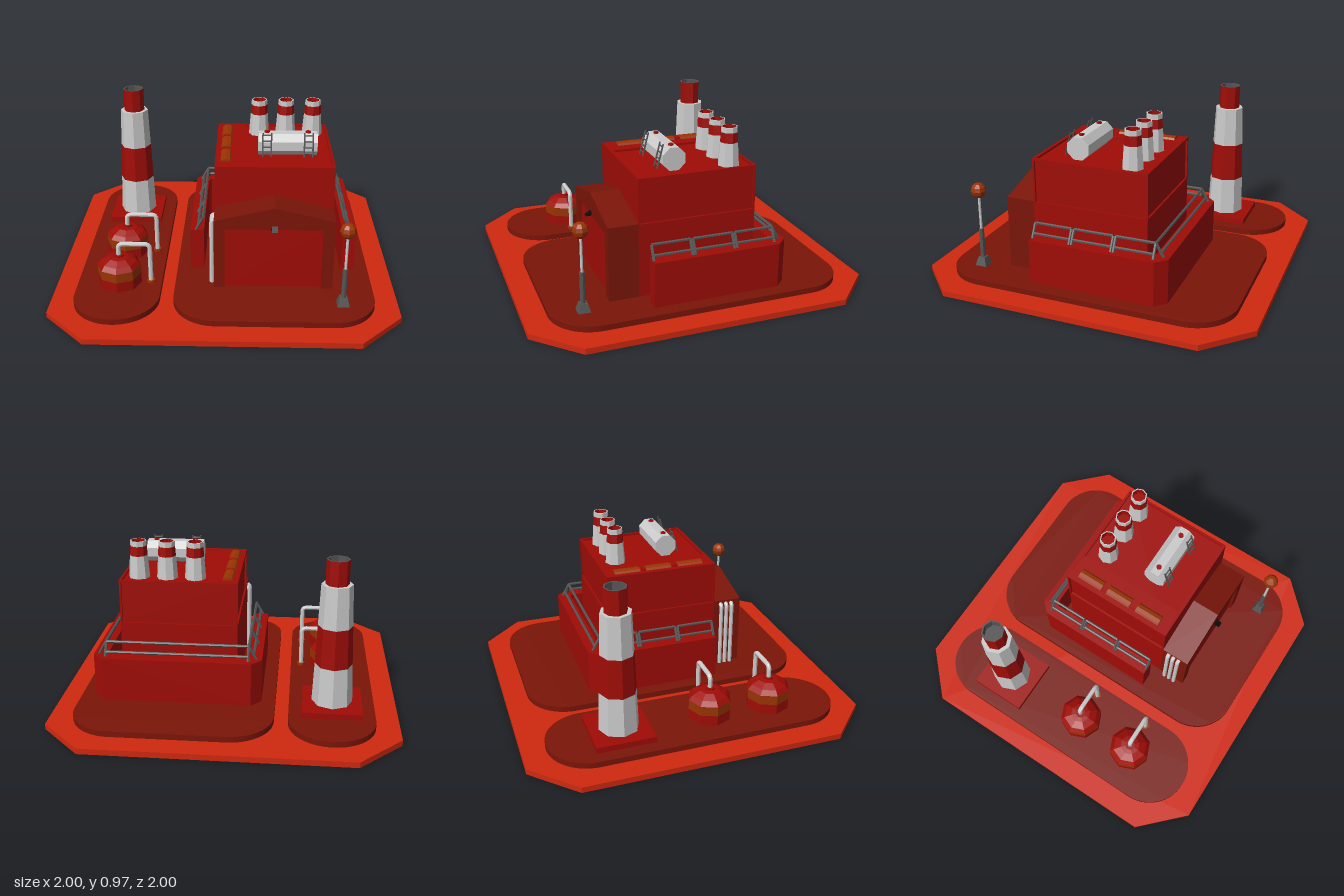
import * as THREE from 'three';

const mat = (color) => new THREE.MeshStandardMaterial({ color, flatShading: true, side: THREE.DoubleSide });
const M = {
  ground: mat(0xd0280f), dark: mat(0x7b1508), red: mat(0xa00c06),
  rust: mat(0x9a3402), grey: mat(0xcccccc), steel: mat(0x555555), black: mat(0x0c0c0c),
};

function mesh(parent, name, geo, m, x = 0, y = 0, z = 0) {
  const o = new THREE.Mesh(geo, m);
  o.name = name;
  o.position.set(x, y, z);
  parent.add(o);
  return o;
}

// Box given by its extents on each axis
function box(parent, name, m, x0, x1, y0, y1, z0, z1) {
  return mesh(parent, name, new THREE.BoxGeometry(x1 - x0, y1 - y0, z1 - z0), m,
    (x0 + x1) / 2, (y0 + y1) / 2, (z0 + z1) / 2);
}

// Flat outline in x/z extruded upwards
function slab(parent, name, m, shape, y0, y1) {
  const geo = new THREE.ExtrudeGeometry(shape, { depth: y1 - y0, bevelEnabled: false, curveSegments: 10 });
  geo.rotateX(-Math.PI / 2);
  return mesh(parent, name, geo, m, 0, y0, 0);
}

const outline = (pts) => new THREE.Shape(pts.map(([x, z]) => new THREE.Vector2(x, -z)));
const rect = (x0, x1, z0, z1) => outline([[x0, z1], [x1, z1], [x1, z0], [x0, z0]]);
const profile = (pts) => pts.map((p) => new THREE.Vector2(...p));

function roundedRect(x0, x1, z, r) {
  const s = new THREE.Shape();
  s.absarc(x1 - r, z - r, r, 0, Math.PI / 2);
  s.absarc(x0 + r, z - r, r, Math.PI / 2, Math.PI);
  s.absarc(x0 + r, -z + r, r, Math.PI, Math.PI * 1.5);
  s.absarc(x1 - r, -z + r, r, Math.PI * 1.5, Math.PI * 2);
  return s;
}

// Eight-sided turned part from [radius, height] pairs
function turned(parent, name, m, pts, x = 0, z = 0) {
  return mesh(parent, name, new THREE.LatheGeometry(profile(pts), 8), m, x, 0, z);
}

// Straight round bar between two points
function bar(parent, name, m, a, b, r, sides = 6) {
  const p = new THREE.Vector3(...a), q = new THREE.Vector3(...b);
  const d = q.clone().sub(p);
  const o = mesh(parent, name, new THREE.CylinderGeometry(r, r, d.length(), sides), m);
  o.position.copy(p).add(q).multiplyScalar(0.5);
  o.quaternion.setFromUnitVectors(new THREE.Vector3(0, 1, 0), d.normalize());
  return o;
}

// Pipe with small rounded bends at its inner corners
function pipe(parent, name, m, pts, r, bend = 0.03) {
  const v = pts.map((p) => new THREE.Vector3(...p));
  const path = new THREE.CurvePath();
  let from = v[0];
  for (let i = 1; i < v.length - 1; i++) {
    const a = v[i].clone().add(v[i - 1].clone().sub(v[i]).setLength(bend));
    const b = v[i].clone().add(v[i + 1].clone().sub(v[i]).setLength(bend));
    path.add(new THREE.LineCurve3(from, a));
    path.add(new THREE.QuadraticBezierCurve3(a, v[i], b));
    from = b;
  }
  path.add(new THREE.LineCurve3(from, v[v.length - 1]));
  return mesh(parent, name, new THREE.TubeGeometry(path, 48, r, 8), m);
}

function group(parent, name) {
  const g = new THREE.Group();
  g.name = name;
  parent.add(g);
  return g;
}

export function createModel() {
  const root = new THREE.Group();
  root.name = 'factory';

  // Ground plate and paved pads
  const c = 0.755;
  slab(root, 'groundPlate', M.ground, outline([[-c, 1], [c, 1], [1, c], [1, -c],
    [c, -1], [-c, -1], [-1, -c], [-1, c]]), 0, 0.034);
  slab(root, 'siloPad', M.dark, roundedRect(-0.865, -0.37, 0.865, 0.247), 0, 0.068);
  slab(root, 'hallPad', M.dark, roundedRect(-0.29, 0.865, 0.865, 0.25), 0, 0.068);

  // Tall banded chimney
  const chimney = group(root, 'chimney');
  box(chimney, 'chimneyFooting', M.red, -0.79, -0.448, 0.068, 0.103, -0.62, -0.275);
  const cx = -0.619, cz = -0.447;
  turned(chimney, 'chimneyLowerBand', M.grey, [[0.118, 0.103], [0.108, 0.338]], cx, cz);
  turned(chimney, 'chimneyMiddleBand', M.red, [[0.108, 0.338], [0.099, 0.573]], cx, cz);
  turned(chimney, 'chimneyUpperBand', M.grey, [[0.099, 0.573], [0.089, 0.818], [0.066, 0.818]], cx, cz);
  turned(chimney, 'chimneyCrown', M.red, [[0.066, 0.818], [0.066, 0.962]], cx, cz);
  turned(chimney, 'chimneyRim', M.steel, [[0.066, 0.962], [0.057, 0.962], [0.057, 0.9], [0, 0.9]], cx, cz);

  // Domed silos with outlet pipes
  for (const z of [0.1, 0.47]) {
    const silo = group(root, 'silo');
    turned(silo, 'siloBase', M.red, [[0.128, 0.068], [0.128, 0.13]], -0.619, z);
    turned(silo, 'siloBand', M.rust, [[0.128, 0.13], [0.128, 0.188]], -0.619, z);
    turned(silo, 'siloDome', M.red, [[0.128, 0.188], [0.105, 0.215], [0.06, 0.238], [0.03, 0.243],
      [0.03, 0.252], [0, 0.252]], -0.619, z);
    pipe(silo, 'siloPipe', M.grey, [[-0.619, 0.24, z], [-0.619, 0.321, z], [-0.435, 0.321, z], [-0.435, 0.068, z]], 0.014);
    turned(silo, 'pipeFlange', M.rust, [[0.025, 0.068], [0.025, 0.083], [0, 0.083]], -0.435, z);
  }

  // Main hall: solid base, core with recessed upper walls, corner posts and roof rim
  const hall = group(root, 'hall');
  box(hall, 'hallBase', M.red, -0.06, 0.632, 0.068, 0.502, -0.345, 0.347);
  box(hall, 'hallCore', M.red, -0.048, 0.62, 0.502, 0.75, -0.333, 0.335);
  box(hall, 'hallFrontWall', M.red, -0.06, 0.632, 0.502, 0.75, 0.335, 0.347);
  for (const x of [-0.06, 0.62]) box(hall, 'cornerPost', M.red, x, x + 0.012, 0.502, 0.75, -0.345, -0.333);
  const rim = rect(-0.06, 0.632, -0.345, 0.347);
  rim.holes.push(rect(0.11, 0.617, -0.33, 0.328));
  slab(hall, 'roofRim', M.red, rim, 0.75, 0.763);

  // Free-standing wall around the sides and back
  slab(root, 'yardWall', M.red, outline([[-0.209, 0.308], [-0.127, 0.308], [-0.127, -0.398], [-0.11, -0.415],
    [0.683, -0.415], [0.7, -0.398], [0.7, 0.308], [0.782, 0.308], [0.782, -0.435], [0.722, -0.497],
    [-0.149, -0.497], [-0.209, -0.435]]), 0.068, 0.332);

  // Gabled entrance, open around the recessed door
  const gable = new THREE.Shape(profile([[-0.06, 0.068], [0.002, 0.068], [0.002, 0.453], [0.566, 0.453],
    [0.566, 0.068], [0.632, 0.068], [0.632, 0.505], [0.286, 0.588], [-0.06, 0.505]]));
  const entrance = group(root, 'entrance');
  mesh(entrance, 'entranceGable', new THREE.ExtrudeGeometry(gable, { depth: 0.173, bevelEnabled: false }), M.dark, 0, 0, 0.347);
  mesh(entrance, 'entranceDoor', new THREE.PlaneGeometry(0.564, 0.385), M.red, 0.284, 0.2605, 0.503);
  const hood = new THREE.Shape(profile([[0, 0], [0.035, 0], [0, 0.025]]));
  const hoodGeo = new THREE.ExtrudeGeometry(hood, { depth: 0.034, bevelEnabled: false });
  hoodGeo.rotateY(-Math.PI / 2);
  mesh(entrance, 'doorLight', hoodGeo, M.black, 0.303, 0.452, 0.519);

  // Wall pipes beside the entrance
  for (const z of [0.39, 0.425, 0.46])
    pipe(entrance, 'wallPipe', M.grey, [[-0.05, 0.482, z], [-0.075, 0.482, z], [-0.075, 0.068, z]], 0.013, 0.022);

  // Inward-leaning railings on the yard wall, as [lean, height] of foot, lower and upper rail
  const rails = group(root, 'railings');
  const levels = [[0, 0.332], [0.014, 0.357], [0.043, 0.41]];
  const panel = (at, s0, s1) => {
    for (const k of [1, 2]) bar(rails, 'rail', M.steel, at(s0, k), at(s1, k), 0.009);
    for (const s of [s0, s1]) bar(rails, 'railPost', M.steel, at(s, 0), at(s, 2), 0.009);
  };
  for (const side of [-1, 1]) {
    const at = (s, k) => [0.288 + side * (0.463 - levels[k][0]), levels[k][1], s];
    for (const [a, b] of [[0.3, 0.075], [0.06, -0.175], [-0.19, -0.42]]) panel(at, a, b);
  }
  panel((s, k) => [s, levels[k][1], -0.464 + levels[k][0]], -0.13, 0.706);

  // Low roof vents joined by short ducts
  const vents = group(root, 'roofVents');
  for (const z of [-0.207, -0.01, 0.193]) {
    const geo = new THREE.CylinderGeometry(0.032, 0.032, 0.16, 8);
    geo.rotateX(Math.PI / 2);
    mesh(vents, 'roofVent', geo, M.rust, 0.003, 0.763, z).scale.y = 0.5;
  }
  box(vents, 'ventDuct', M.red, -0.022, 0.028, 0.763, 0.771, -0.2, 0.18);

  // Three banded roof stacks
  for (const x of [0.2, 0.366, 0.533]) {
    const stack = group(root, 'roofStack');
    turned(stack, 'stackBody', M.grey, [[0.063, 0.75], [0.053, 0.885]], x, -0.22);
    turned(stack, 'stackBand', M.red, [[0.053, 0.885], [0.049, 0.942]], x, -0.22);
    turned(stack, 'stackRim', M.grey, [[0.049, 0.942], [0.048, 0.972], [0.041, 0.972]], x, -0.22);
    turned(stack, 'stackFlue', M.red, [[0.041, 0.972], [0.041, 0.93], [0, 0.93]], x, -0.22);
  }

  // Roof tank with valves and ladders
  const tank = group(root, 'roofTank');
  const tankGeo = new THREE.CylinderGeometry(0.071, 0.071, 0.348, 8);
  tankGeo.rotateY(Math.PI / 8);
  tankGeo.rotateZ(Math.PI / 2);
  mesh(tank, 'tankBody', tankGeo, M.grey, 0.364, 0.818, 0.107);
  for (const x of [0.242, 0.485]) {
    mesh(tank, 'tankValve', new THREE.CylinderGeometry(0.016, 0.016, 0.02, 8), M.red, x, 0.882, 0.107);
    const foot = [0.763, 0.197], top = [0.9, 0.162];
    for (const s of [-0.025, 0.025])
      bar(tank, 'ladderRail', M.steel, [x + s, ...foot], [x + s, ...top], 0.005);
    for (const t of [0.15, 0.4, 0.65, 0.9]) {
      const y = THREE.MathUtils.lerp(foot[0], top[0], t), z = THREE.MathUtils.lerp(foot[1], top[1], t);
      bar(tank, 'ladderRung', M.steel, [x - 0.025, y, z], [x + 0.025, y, z], 0.004);
    }
  }

  // Lamp post
  const lamp = group(root, 'lampPost');
  const baseGeo = new THREE.CylinderGeometry(0.03, 0.05, 0.05, 4);
  baseGeo.rotateY(Math.PI / 4);
  mesh(lamp, 'lampBase', baseGeo, M.steel, 0.678, 0.093, 0.68);
  bar(lamp, 'lampLowerPost', M.steel, [0.678, 0.118, 0.68], [0.678, 0.3, 0.68], 0.015, 8);
  bar(lamp, 'lampUpperPost', M.grey, [0.678, 0.3, 0.68], [0.678, 0.51, 0.68], 0.008, 8);
  mesh(lamp, 'lampGlobe', new THREE.SphereGeometry(0.046, 8, 6), M.rust, 0.678, 0.54, 0.68);

  return root;
}
